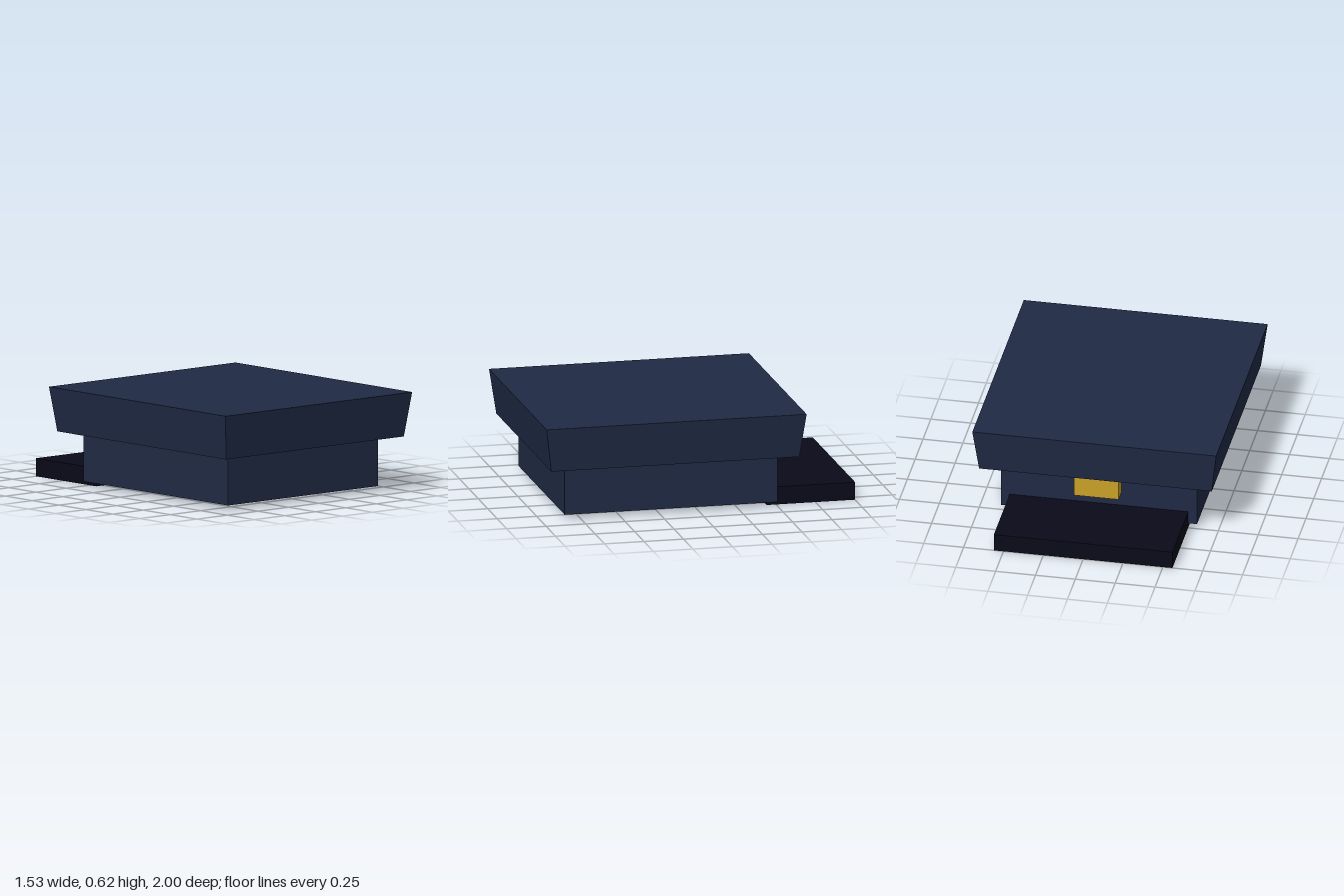
import * as THREE from 'three';

const material = (name, color) => {
  const m = new THREE.MeshStandardMaterial({ color });
  m.name = name;
  return m;
};

// Box given by its lower and upper bounds on each axis; the base can be narrower than the top
function block(name, mat, [x0, x1], [y0, y1], [z0, z1], baseScale = 1) {
  const geometry = new THREE.BoxGeometry(x1 - x0, y1 - y0, z1 - z0);
  const p = geometry.attributes.position;
  for (let i = 0; i < p.count; i++) {
    if (p.getY(i) < 0) {
      p.setX(i, p.getX(i) * baseScale);
      p.setZ(i, p.getZ(i) * baseScale);
    }
  }
  geometry.computeVertexNormals();
  const mesh = new THREE.Mesh(geometry, mat);
  mesh.name = name;
  mesh.position.set((x0 + x1) / 2, (y0 + y1) / 2, (z0 + z1) / 2);
  return mesh;
}

export function createModel() {
  const navy = material('navy cloth', 0x1f2a44);
  const black = material('black visor', 0x0a0a1a);
  const gold = material('gold badge', 0xc9a227);

  const cap = new THREE.Group();
  cap.name = 'peakedCap';
  cap.add(
    // Flared crown overhanging the head band
    block('crown', navy, [-0.765, 0.765], [0.34, 0.617], [-0.645, 1], 0.954),
    block('headBand', navy, [-0.615, 0.615], [0.03, 0.34], [-0.495, 0.85]),
    // Visor and badge on the -z side
    block('visor', black, [-0.56, 0.56], [0, 0.112], [-1, -0.44]),
    block('badge', gold, [-0.14, 0.14], [0.2, 0.4], [-0.58, -0.48])
  );
  return cap;
}
